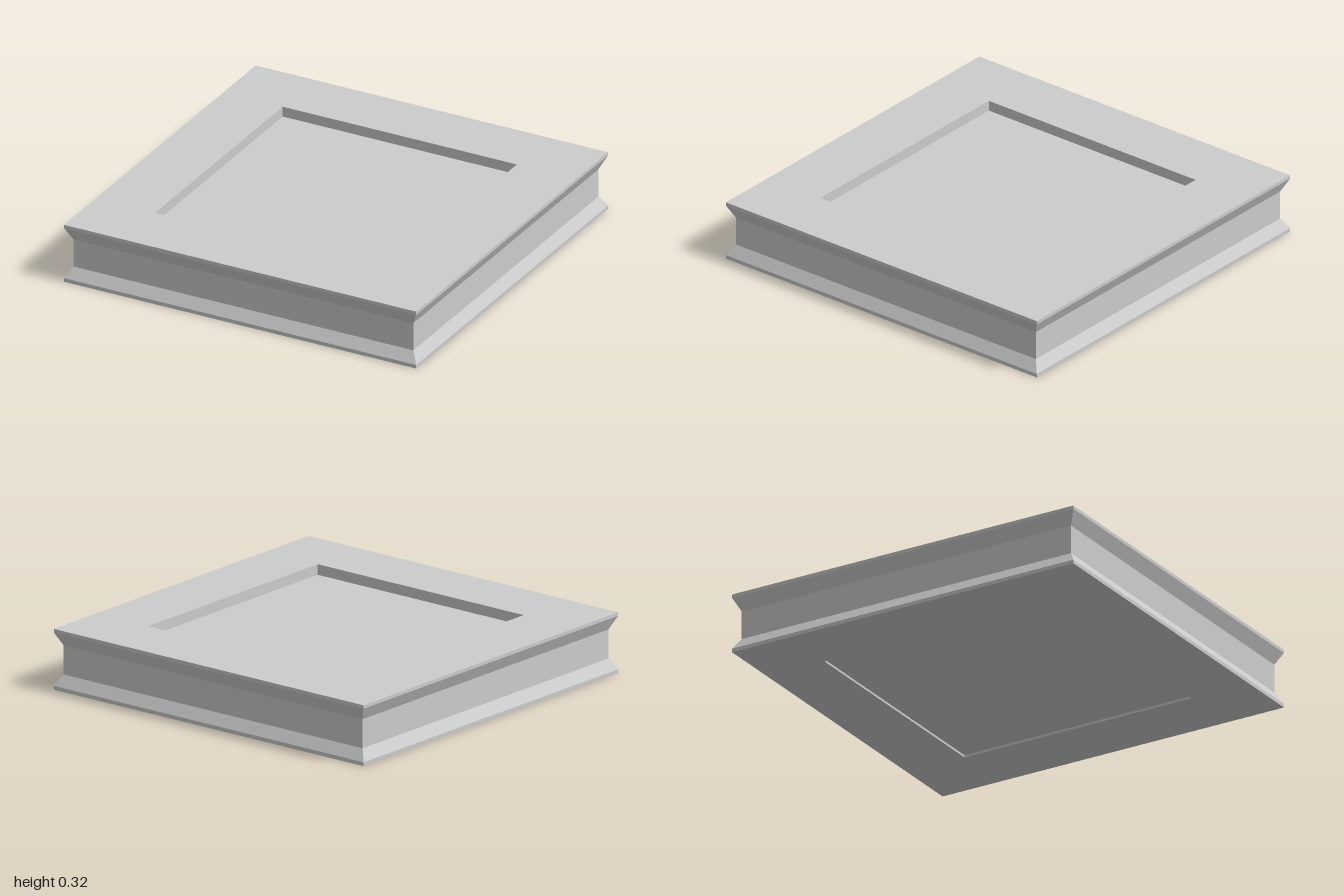
import * as THREE from 'three';

const HEIGHT = 0.318;
const INNER = 0.665;
const TOP_FLOOR = 0.263;
const BOTTOM_FLOOR = 0.012;

// Sweeps a [half width, y] profile around a square, with flat faces
function squareSweep(name, profile, material) {
  const points = profile.map(([half, y]) => new THREE.Vector2(half * Math.SQRT2, y));
  const geometry = new THREE.LatheGeometry(points, 4, Math.PI / 4).toNonIndexed();
  geometry.computeVertexNormals();
  const mesh = new THREE.Mesh(geometry, material);
  mesh.name = name;
  return mesh;
}

// Flat square panel facing up or down
function panel(name, y, direction, material) {
  const geometry = new THREE.PlaneGeometry(INNER * 2, INNER * 2);
  geometry.rotateX(-direction * Math.PI / 2);
  const mesh = new THREE.Mesh(geometry, material);
  mesh.name = name;
  mesh.position.y = y;
  return mesh;
}

export function createModel() {
  const grey = new THREE.MeshStandardMaterial({ color: 0xcccccc });
  grey.name = 'light grey';

  const model = new THREE.Group();
  model.name = 'squarePlinth';

  // Waisted outer moulding, including the rims and walls of both recesses
  model.add(squareSweep('moulding', [
    [INNER, BOTTOM_FLOOR],
    [INNER, 0],
    [1, 0],
    [1, 0.02],
    [0.965, 0.078],
    [0.965, 0.23],
    [1, 0.3],
    [1, HEIGHT],
    [INNER, HEIGHT],
    [INNER, TOP_FLOOR],
  ], grey));

  // Floors of the deep top recess and the shallow underside recess
  model.add(panel('topPanel', TOP_FLOOR, 1, grey));
  model.add(panel('bottomPanel', BOTTOM_FLOOR, -1, grey));

  return model;
}
